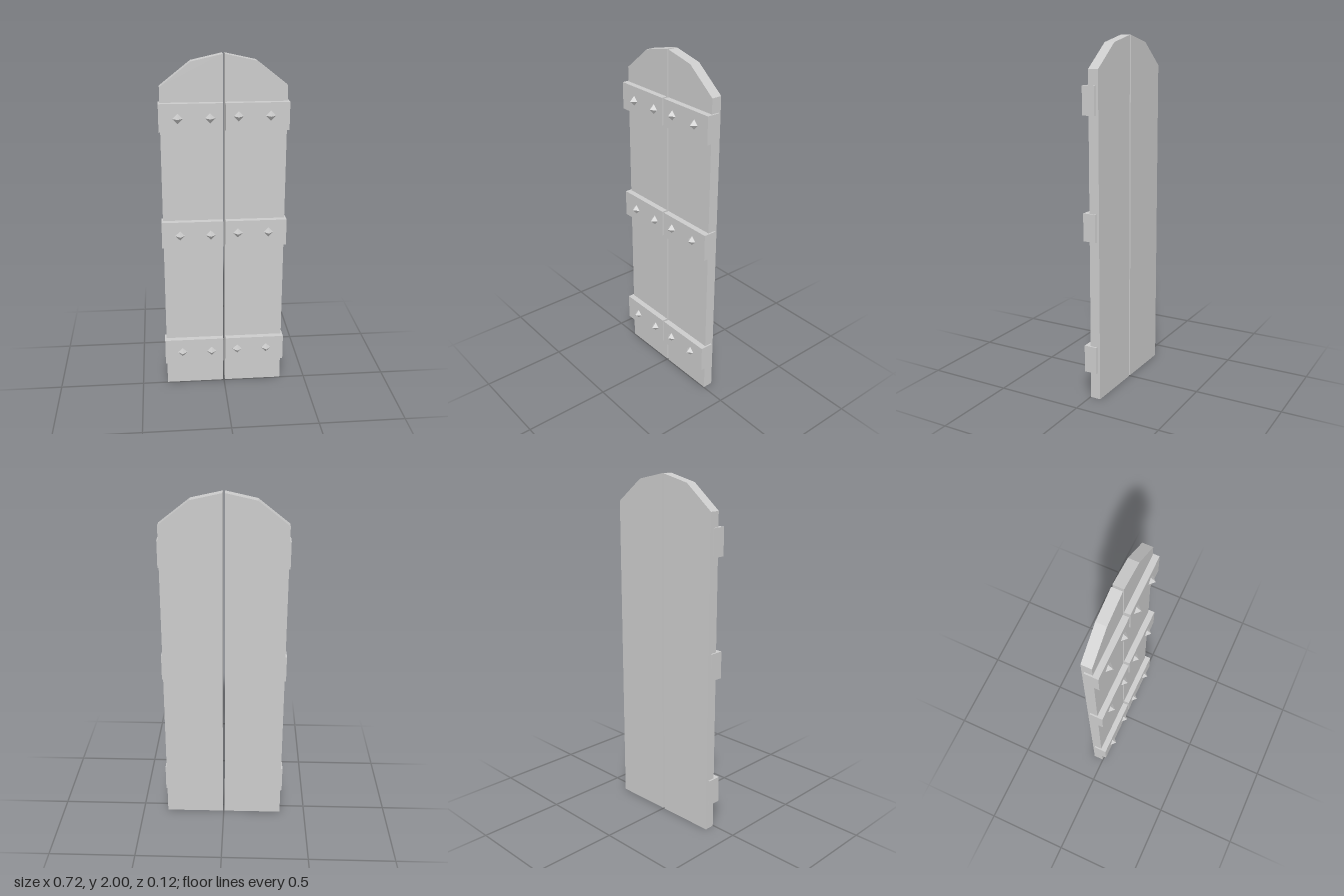
import * as THREE from 'three';

const material = new THREE.MeshStandardMaterial({ color: 0xcccccc, flatShading: true });

function addMesh(parent, name, geometry, x = 0, y = 0, z = 0) {
  const mesh = new THREE.Mesh(geometry, material);
  mesh.name = name;
  mesh.position.set(x, y, z);
  parent.add(mesh);
}

// Tall panel with half of a faceted arch on top
function panelGeometry(side) {
  const points = [[0.006, 0], [0.349, 0], [0.349, 1.828], [0.178, 1.962], [0.006, 2]];
  const shape = new THREE.Shape(points.map(([x, y]) => new THREE.Vector2(side * x, y)));
  return new THREE.ExtrudeGeometry(shape, { depth: 0.059, bevelEnabled: false });
}

export function createModel() {
  const group = new THREE.Group();
  group.name = 'doubleDoor';

  const bandGeometry = new THREE.BoxGeometry(0.351, 0.155, 0.077);
  const studGeometry = new THREE.ConeGeometry(0.029, 0.029, 4).rotateX(Math.PI / 2);

  for (const side of [1, -1]) {
    const door = new THREE.Group();
    door.name = side > 0 ? 'leftDoor' : 'rightDoor';
    group.add(door);

    addMesh(door, 'panel', panelGeometry(side), 0, 0, -0.062);

    // Cross bands, each with two pyramid studs
    for (const y of [0.231, 0.989, 1.667]) {
      addMesh(door, 'band', bandGeometry, side * 0.1825, y, -0.0075);
      for (const x of [0.078, 0.254]) {
        addMesh(door, 'stud', studGeometry, side * x, y + side * 0.004, 0.0445);
      }
    }
  }
  return group;
}
